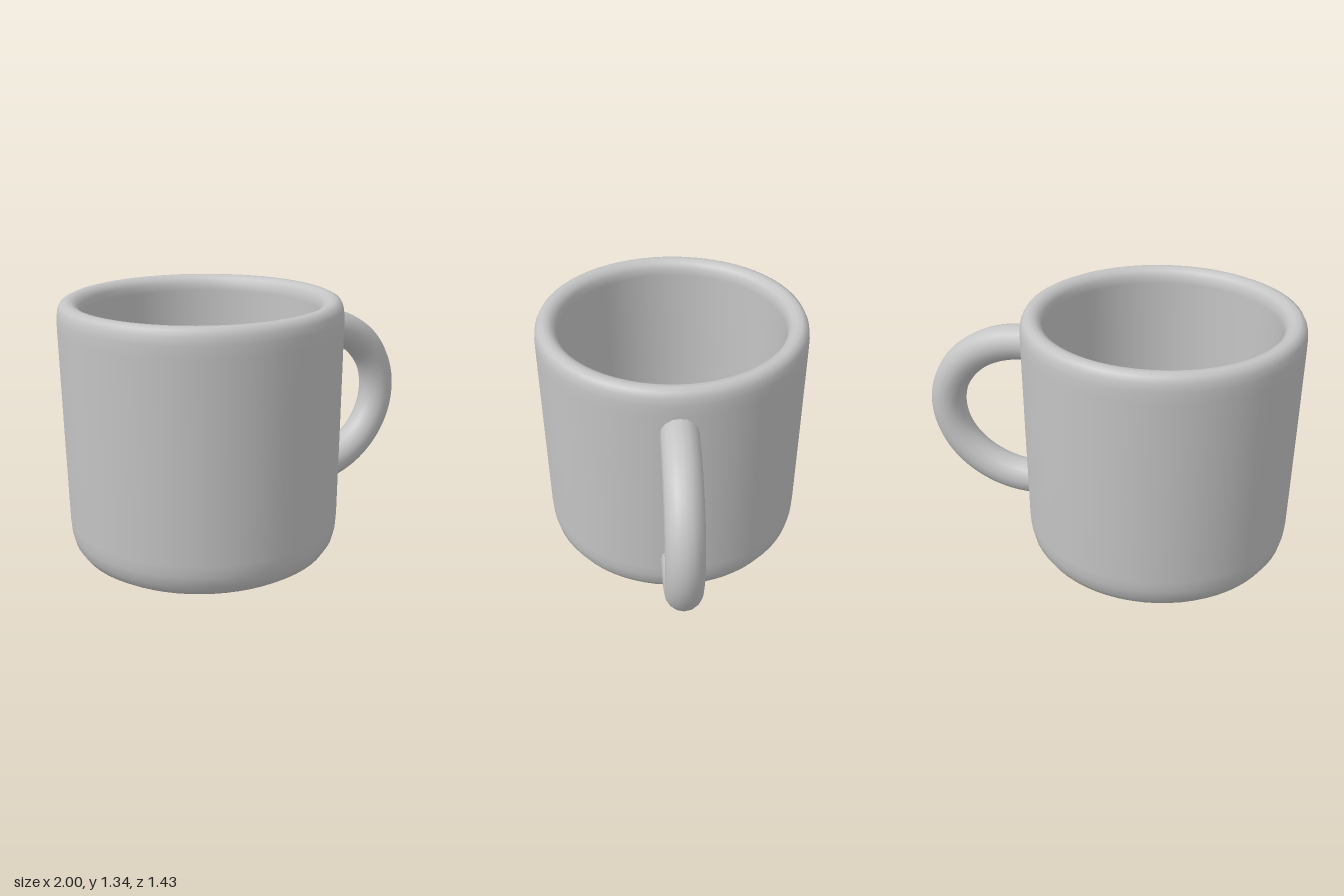
import * as THREE from 'three';

const glaze = new THREE.MeshStandardMaterial({ color: 0xc4c4c4 });
glaze.name = 'grey glaze';

const CENTER_X = -0.285;

// Outer wall, rounded rim, inner wall and floor in one turned profile
function makeCup() {
  const profile = [
    [0, 0], [0.56, 0], [0.58, 0.003], [0.62, 0.015], [0.655, 0.038], [0.685, 0.085], [0.698, 0.14], [0.702, 0.2],
    [0.709, 0.7], [0.715, 1.2], [0.715, 1.26], [0.709, 1.3], [0.695, 1.327], [0.672, 1.338],
    [0.645, 1.337], [0.62, 1.323], [0.605, 1.3], [0.598, 1.26],
    [0.598, 0.7], [0.597, 0.2], [0.585, 0.15], [0.555, 0.122], [0.5, 0.115], [0, 0.115],
  ].map(([r, y]) => new THREE.Vector2(r, y));
  const cup = new THREE.Mesh(new THREE.LatheGeometry(profile, 64), glaze);
  cup.name = 'cup';
  cup.position.x = CENTER_X;
  return cup;
}

// Half-ellipse loop with its ends sunk into the wall
function makeHandle() {
  const points = [new THREE.Vector3(0.36, 1.096, 0)];
  const steps = 16;
  for (let i = 0; i <= steps; i++) {
    const a = Math.PI / 2 - (Math.PI * i) / steps;
    points.push(new THREE.Vector3(0.43 + 0.475 * Math.cos(a), 0.683 + 0.413 * Math.sin(a), 0));
  }
  points.push(new THREE.Vector3(0.36, 0.27, 0));
  const path = new THREE.CatmullRomCurve3(points);
  const handle = new THREE.Mesh(new THREE.TubeGeometry(path, 48, 0.095, 16), glaze);
  handle.name = 'handle';
  return handle;
}

export function createModel() {
  const mug = new THREE.Group();
  mug.name = 'mug';
  mug.add(makeCup(), makeHandle());
  return mug;
}
